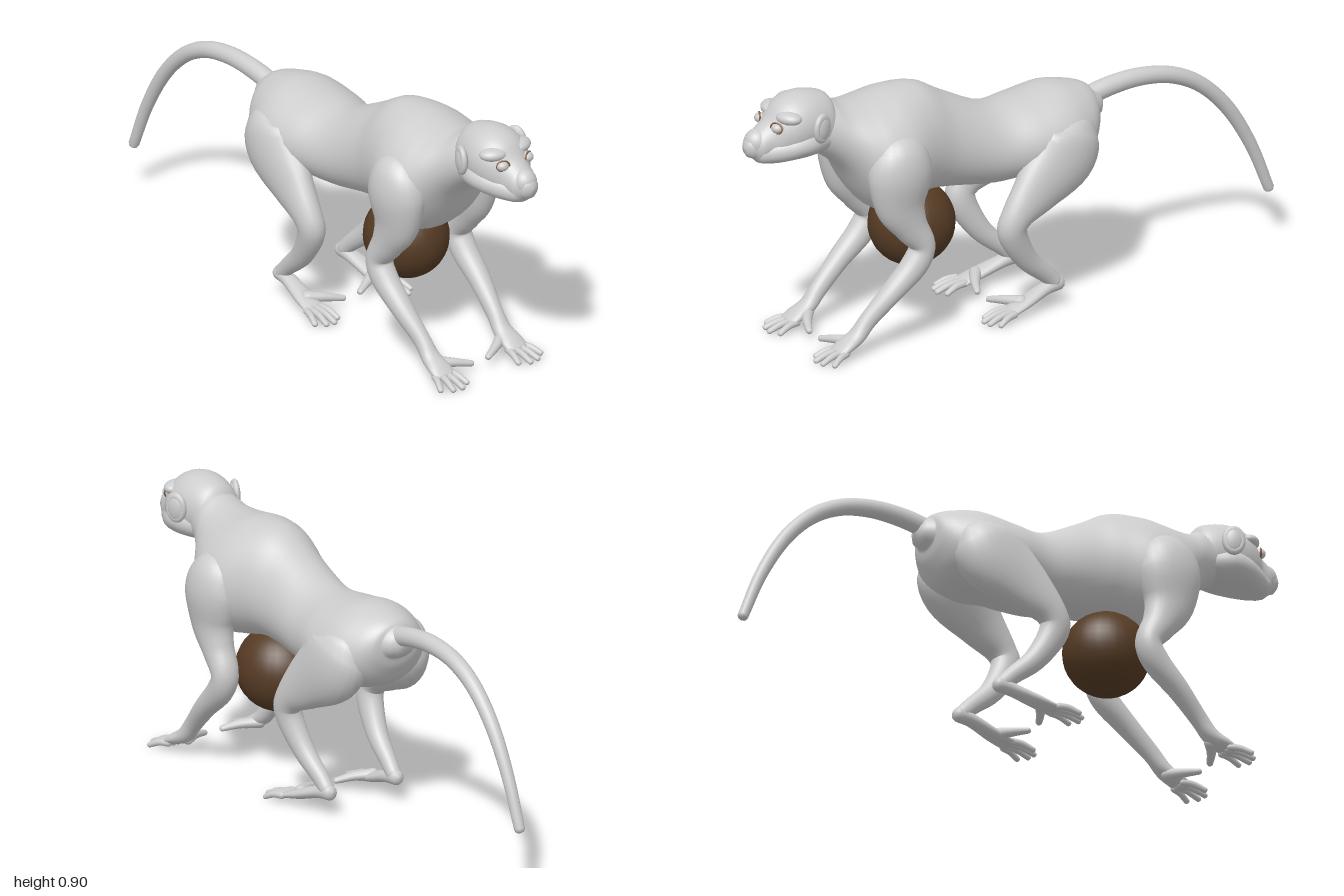
import * as THREE from 'three';

const mat = (name, color) => {
  const m = new THREE.MeshStandardMaterial({ color });
  m.name = name;
  return m;
};

// Smooth closed skin over sections [x, y, z, rx, ry]; fixed keeps every ring facing +z,
// pear narrows the upper half of each ring and widens the lower
function loft(sections, { fixed = false, pear = 0, sides = 24, steps = 5 } = {}) {
  const path = new THREE.CatmullRomCurve3(sections.map(p => new THREE.Vector3(p[0], p[1], p[2])), false, 'catmullrom', 0.5);
  const size = new THREE.CatmullRomCurve3(sections.map(p => new THREE.Vector3(p[3], p[4], 0)), false, 'catmullrom', 0.5);
  const dir = path.getPoint(1).sub(path.getPoint(0)).normalize();
  const ref = Math.abs(dir.x) > 0.75 ? new THREE.Vector3(0, 0, 1) : new THREE.Vector3(1, 0, 0);
  const pos = [], index = [];
  let rings = 0;
  const ring = (t, shrink, push) => {
    const c = path.getPoint(t), r = size.getPoint(t);
    const T = fixed ? new THREE.Vector3(0, 0, 1) : path.getTangent(t);
    const side = ref.clone().addScaledVector(T, -T.dot(ref)).normalize();
    const up = T.clone().cross(side);
    c.addScaledVector(T, push * Math.min(r.x, r.y) * 0.8);
    for (let j = 0; j < sides; j++) {
      const a = j / sides * Math.PI * 2;
      const w = r.x * shrink * (1 - pear * Math.sin(a));
      const v = c.clone().addScaledVector(side, w * Math.cos(a)).addScaledVector(up, r.y * shrink * Math.sin(a));
      pos.push(v.x, v.y, v.z);
    }
    rings++;
  };
  // Rounded ends
  const cap = [0.02, 0.5, 0.85];
  cap.forEach(s => ring(0, s, -Math.sqrt(1 - s * s)));
  const n = (sections.length - 1) * steps;
  for (let i = 0; i <= n; i++) ring(i / n, 1, 0);
  cap.reverse().forEach(s => ring(1, s, Math.sqrt(1 - s * s)));
  for (let i = 0; i < rings - 1; i++) {
    for (let j = 0; j < sides; j++) {
      const a = i * sides + j, b = i * sides + (j + 1) % sides;
      index.push(a, b, a + sides, b, b + sides, a + sides);
    }
  }
  const g = new THREE.BufferGeometry();
  g.setAttribute('position', new THREE.Float32BufferAttribute(pos, 3));
  g.setIndex(index);
  g.computeVertexNormals();
  return g;
}

// Turns side-profile rows [z, top, bottom, halfWidth] into loft sections
const profile = rows => rows.map(([z, t, b, w]) => [0, (t + b) / 2, z, w, (t - b) / 2]);

export function createModel() {
  const model = new THREE.Group();
  model.name = 'monkey';
  const fur = mat('grey fur', 0xcccccc);
  const brown = mat('dark brown', 0x553b24);
  const tan = mat('eye rim tan', 0x8a5f42);

  const add = (name, geometry, material = fur) => {
    const m = new THREE.Mesh(geometry, material);
    m.name = name;
    model.add(m);
    return m;
  };
  const blob = (name, p, r, material = fur) => {
    const m = add(name, new THREE.SphereGeometry(1, 28, 20), material);
    m.position.set(...p);
    m.scale.set(...r);
    return m;
  };

  // Body and neck
  add('torso', loft(profile([
    [-0.3, 0.68, 0.575, 0.06], [-0.285, 0.697, 0.53, 0.098], [-0.24, 0.715, 0.47, 0.143],
    [-0.15, 0.73, 0.44, 0.182], [-0.03, 0.715, 0.45, 0.178], [0.1, 0.715, 0.44, 0.145],
    [0.25, 0.785, 0.46, 0.138], [0.35, 0.84, 0.468, 0.16], [0.45, 0.848, 0.45, 0.2],
    [0.53, 0.838, 0.442, 0.207], [0.59, 0.833, 0.5, 0.178], [0.65, 0.838, 0.60, 0.13],
    [0.7, 0.86, 0.65, 0.1], [0.76, 0.86, 0.69, 0.08]]), { fixed: true, sides: 36, pear: 0.1 }));

  // Skull, jaw and nose
  add('head', loft(profile([
    [0.68, 0.85, 0.68, 0.06], [0.71, 0.885, 0.68, 0.085], [0.78, 0.903, 0.69, 0.102],
    [0.84, 0.897, 0.69, 0.102], [0.885, 0.873, 0.688, 0.085], [0.92, 0.83, 0.686, 0.06],
    [0.955, 0.80, 0.69, 0.05], [0.975, 0.785, 0.705, 0.035]]), { fixed: true, sides: 32 }));
  add('jaw', loft(profile([
    [0.72, 0.80, 0.69, 0.085], [0.79, 0.815, 0.686, 0.112], [0.85, 0.805, 0.683, 0.106],
    [0.9, 0.785, 0.68, 0.082], [0.94, 0.765, 0.682, 0.056]]), { fixed: true, sides: 32, pear: 0.06 }));
  blob('nose', [0, 0.757, 0.954], [0.042, 0.046, 0.044]);

  // Belly ball
  blob('bellyBall', [0, 0.352, 0.37], [0.138, 0.142, 0.145], brown);

  // Tail
  add('tail', loft([
    [0, 0.64, -0.27, 0.033, 0.033], [0, 0.665, -0.38, 0.032, 0.032], [0, 0.672, -0.5, 0.03, 0.03],
    [0, 0.65, -0.62, 0.028, 0.028], [0, 0.59, -0.73, 0.026, 0.026], [0, 0.485, -0.83, 0.024, 0.024],
    [0, 0.34, -0.915, 0.021, 0.021], [0, 0.18, -0.98, 0.018, 0.018]], { sides: 18 }));

  for (const s of [1, -1]) {
    const tag = s > 0 ? 'left' : 'right';
    const limb = (name, rows, opts) =>
      add(tag + name, loft(rows.map(([x, ...rest]) => [x * s, ...rest]), opts));

    // Brow, eye and eye rim
    blob(tag + 'Brow', [s * 0.058, 0.842, 0.869], [0.046, 0.022, 0.032]).rotation.y = s * 0.5;
    blob(tag + 'Eye', [s * 0.053, 0.814, 0.909], [0.021, 0.017, 0.02]);
    const rim = add(tag + 'EyeRim', new THREE.TorusGeometry(0.021, 0.003, 8, 24), tan);
    rim.position.set(s * 0.053, 0.814, 0.913);
    rim.rotation.y = s * 0.45;
    rim.scale.y = 0.88;

    // Ear: shallow cup with a thick rounded rim
    const ear = blob(tag + 'Ear', [s * 0.114, 0.806, 0.778], [0.019, 0.046, 0.034]);
    ear.rotation.y = s * 0.35;
    const earRim = add(tag + 'EarRim', new THREE.TorusGeometry(0.029, 0.012, 14, 28));
    earRim.position.set(s * 0.116, 0.807, 0.778);
    earRim.scale.set(0.95, 1.25, 0.9);
    earRim.rotation.y = Math.PI / 2 + s * 0.35;

    // Front limb
    limb('Arm', [
      [0.115, 0.70, 0.495, 0.06, 0.07], [0.14, 0.665, 0.5, 0.083, 0.1], [0.158, 0.6, 0.51, 0.08, 0.113],
      [0.161, 0.5, 0.508, 0.06, 0.09], [0.164, 0.42, 0.475, 0.05, 0.06], [0.167, 0.345, 0.432, 0.047, 0.043],
      [0.168, 0.28, 0.46, 0.044, 0.045], [0.165, 0.2, 0.545, 0.037, 0.036], [0.155, 0.12, 0.625, 0.028, 0.03],
      [0.153, 0.07, 0.67, 0.033, 0.026], [0.154, 0.046, 0.715, 0.041, 0.02], [0.155, 0.031, 0.745, 0.04, 0.013]]);

    // Hind limb, then foot from heel to ball
    limb('Leg', [
      [0.09, 0.61, -0.14, 0.07, 0.08], [0.11, 0.575, -0.14, 0.09, 0.12], [0.131, 0.52, -0.11, 0.081, 0.128],
      [0.155, 0.44, -0.012, 0.057, 0.092], [0.165, 0.365, 0.07, 0.046, 0.055], [0.16, 0.305, 0.085, 0.043, 0.05],
      [0.145, 0.2, 0.025, 0.035, 0.038], [0.135, 0.125, -0.055, 0.027, 0.029], [0.132, 0.09, -0.09, 0.025, 0.026]]);
    limb('Foot', [
      [0.132, 0.084, -0.105, 0.024, 0.026], [0.135, 0.073, -0.05, 0.027, 0.021],
      [0.145, 0.047, 0.03, 0.035, 0.018], [0.15, 0.029, 0.09, 0.038, 0.012]]);

    // Fingers and toes share one layout, shifted along z
    [['Finger', 'Thumb', 0, 1], ['Toe', 'BigToe', -0.635, 0.85]].forEach(([name, inner, dz, spread]) => {
      [[0.80, 0.11], [0.82, 0.145], [0.815, 0.18], [0.79, 0.213]].forEach(([tipZ, tipX], i) => {
        const x0 = 0.126 + i * 0.019, x1 = 0.15 + (tipX - 0.15) * spread;
        limb(name + (i + 1), [
          [x0, 0.03, 0.725 + dz, 0.012, 0.012],
          [(x0 + x1) / 2, 0.027, (0.725 + tipZ) / 2 + dz, 0.011, 0.011],
          [x1, 0.012, tipZ + dz, 0.01, 0.009]], { sides: 12, steps: 3 });
      });
      limb(inner, [
        [0.145, 0.052, 0.675 + dz, 0.022, 0.02],
        [0.09, 0.046, 0.71 + dz, 0.016, 0.015],
        [0.035, 0.034, 0.735 + dz, 0.011, 0.01]], { sides: 12, steps: 4 });
    });
  }
  return model;
}
